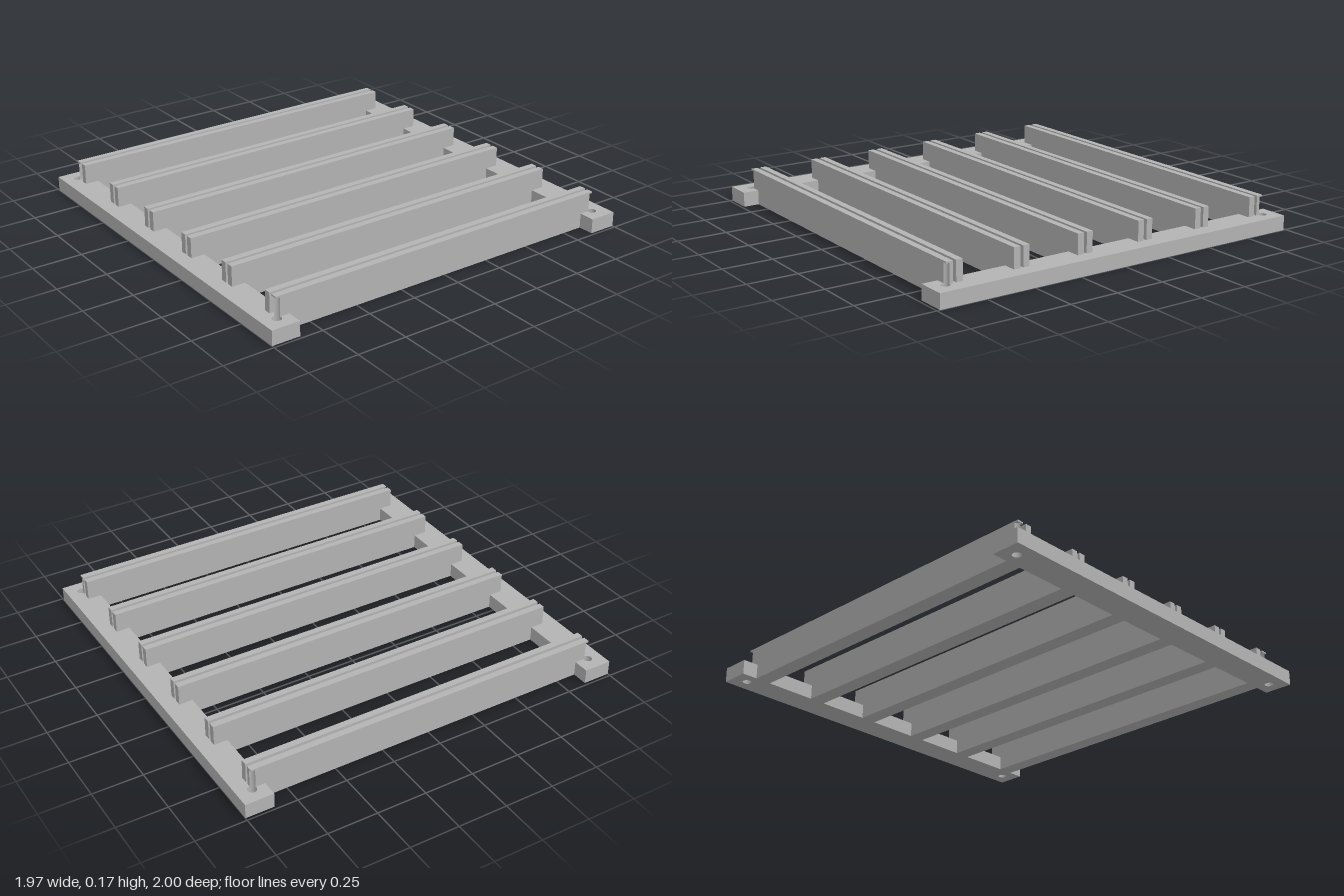
import * as THREE from 'three';

const BAR_TOP = 0.074, RAIL_TOP = 0.174, NOTCH_TOP = 0.166;
const HOLE_X = 0.911, HOLE_Z = 0.925, HOLE_R = 0.022;
const BAR_IN = 0.857, RAIL_END = 0.925;
const PITCH = 0.3455, HALF_W = 0.041, WALL = 0.033;

export function createModel() {
  const model = new THREE.Group();
  const grey = new THREE.MeshStandardMaterial({ color: 0xb3b3b3 });

  const add = (geometry, name) => {
    const mesh = new THREE.Mesh(geometry, grey);
    mesh.name = name;
    model.add(mesh);
  };
  // Box given by its limits on each axis
  const box = (name, x0, x1, y0, y1, z0, z1) => add(
    new THREE.BoxGeometry(x1 - x0, y1 - y0, z1 - z0)
      .translate((x0 + x1) / 2, (y0 + y1) / 2, (z0 + z1) / 2), name);
  // Plan outline raised from y0 to y1
  const raise = (name, shape, y0, y1) => add(
    new THREE.ExtrudeGeometry(shape, { depth: y1 - y0, bevelEnabled: false, curveSegments: 16 })
      .rotateX(-Math.PI / 2).translate(0, y0, 0), name);

  // Cross bars with a screw hole at each end
  for (const s of [-1, 1]) {
    const plan = new THREE.Shape([[-0.985, BAR_IN], [0.985, BAR_IN], [0.985, 1], [-0.985, 1]]
      .map(([x, z]) => new THREE.Vector2(x, z * s)));
    for (const h of [-1, 1]) {
      plan.holes.push(new THREE.Path().absarc(h * HOLE_X, s * HOLE_Z, HOLE_R, 0, Math.PI * 2));
    }
    raise(s > 0 ? 'backBar' : 'frontBar', plan, 0, BAR_TOP);
  }

  // Outermost wall outline, its corners cut away around the screw holes
  const outer = 2.5 * PITCH + HALF_W, inner = outer - WALL;
  const a = Math.acos((outer - HOLE_X) / HOLE_R);
  const notched = new THREE.Shape();
  notched.moveTo(inner, -RAIL_END);
  notched.absarc(HOLE_X, -HOLE_Z, HOLE_R, Math.PI, a, true);
  notched.absarc(HOLE_X, HOLE_Z, HOLE_R, -a, -Math.PI, true);
  notched.lineTo(inner, RAIL_END);
  const outline = notched.getPoints(12);

  // Six grooved rails: a solid foot between the bars and two upright walls
  for (let i = 0; i < 6; i++) {
    const c = (i - 2.5) * PITCH;
    box('railFoot', c - HALF_W, c + HALF_W, 0, BAR_TOP, -BAR_IN, BAR_IN);
    for (const s of [-1, 1]) {
      const edge = c + s * HALF_W, back = edge - s * WALL;
      const x0 = Math.min(edge, back), x1 = Math.max(edge, back);
      const cut = (i === 0 && s < 0) || (i === 5 && s > 0);
      if (cut) {
        const plan = new THREE.Shape(outline.map(p => new THREE.Vector2(p.x * s, p.y)));
        raise('notchedRailWall', plan, BAR_TOP, NOTCH_TOP);
      }
      box(cut ? 'railWallCap' : 'railWall', x0, x1, cut ? NOTCH_TOP : BAR_TOP, RAIL_TOP, -RAIL_END, RAIL_END);
    }
  }
  return model;
}
